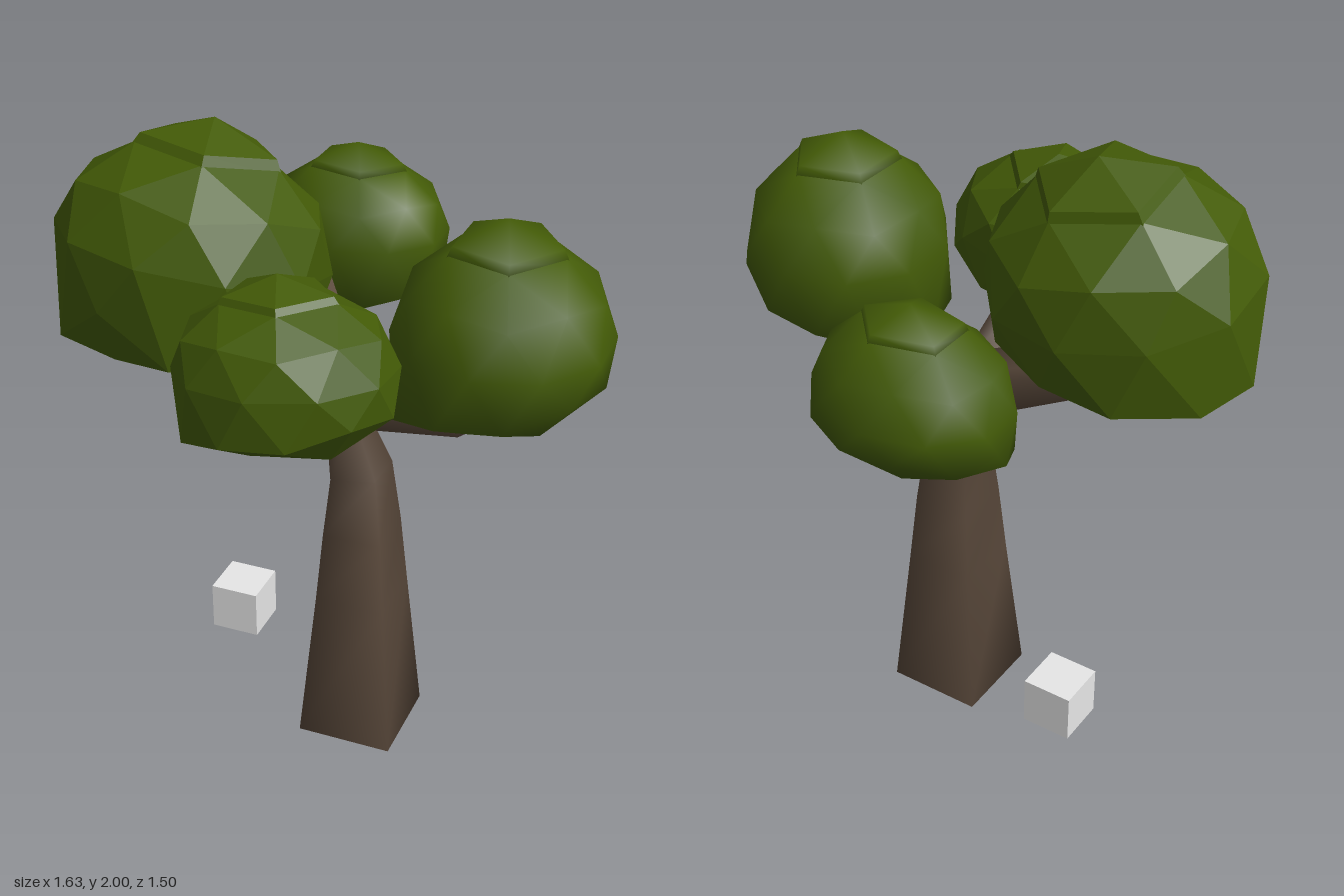
import * as THREE from 'three';
import { mergeVertices } from 'three/addons/utils/BufferGeometryUtils.js';

const bark = new THREE.MeshStandardMaterial({ name: 'bark brown', color: 0x5b4a3c });
const leaf = new THREE.MeshStandardMaterial({ name: 'leaf green', color: 0x435b07 });
const stone = new THREE.MeshStandardMaterial({ name: 'light grey', color: 0xe7e7e7 });

// Square tube through [x, y, z, half width] points, with soft normals
function limb(points, ref) {
  const centres = points.map(p => new THREE.Vector3(p[0], p[1], p[2]));
  const pos = [], index = [];
  const last = points.length - 1;
  centres.forEach((c, i) => {
    const t = centres[Math.min(i + 1, last)].clone().sub(centres[Math.max(i - 1, 0)]).normalize();
    const u = ref.clone().cross(t).normalize();
    const v = t.clone().cross(u);
    const h = points[i][3];
    for (const [a, b] of [[1, 1], [-1, 1], [-1, -1], [1, -1]]) {
      const p = c.clone().addScaledVector(u, a * h).addScaledVector(v, b * h);
      pos.push(p.x, p.y, p.z);
    }
  });
  for (let i = 0; i < last; i++) {
    for (let k = 0; k < 4; k++) {
      const a = i * 4 + k, b = i * 4 + (k + 1) % 4;
      index.push(a, b, b + 4, a, b + 4, a + 4);
    }
  }
  const e = last * 4;
  index.push(0, 2, 1, 0, 3, 2, e, e + 1, e + 2, e, e + 2, e + 3);
  const g = new THREE.BufferGeometry();
  g.setAttribute('position', new THREE.Float32BufferAttribute(pos, 3));
  g.setIndex(index);
  g.computeVertexNormals();
  return g;
}

// Weld a geometry, then shade it either faceted or smooth
function weld(g) {
  g.deleteAttribute('normal');
  g.deleteAttribute('uv');
  return mergeVertices(g, 1e-3);
}
function shade(g, flat) {
  const out = flat ? g.toNonIndexed() : g;
  out.computeVertexNormals();
  return out;
}

// Leaf clump: low-poly ball with a hollow underside, a slanted rim and a five-sided cap
function clump({ name, centre, radii, low, skirt, slant, flat, tilt }) {
  const group = new THREE.Group();
  group.name = name;
  const lean = new THREE.Euler(tilt[0], 0, tilt[1]);
  const ball = weld(new THREE.IcosahedronGeometry(1, 1));
  ball.rotateZ(-Math.atan(2 / (1 + Math.sqrt(5))));
  const p = ball.attributes.position;
  const v = new THREE.Vector3();
  for (let i = 0; i < p.count; i++) {
    v.fromBufferAttribute(p, i);
    if (v.y > 0.3) v.y *= 0.87;
    v.applyEuler(lean);
    if (v.y < -0.3) {
      const r = Math.hypot(v.x, v.z);
      const sag = v.x * slant[0] + v.z * slant[1];
      v.y = r < 0.65 ? low + Math.max(0, 0.45 - r) * 1.5 : Math.max(low - 0.03, v.y - skirt - sag);
      const grow = Math.min(1.12 + Math.max(0, sag) * 0.3, 1 / Math.max(r, 0.01));
      v.x *= grow;
      v.z *= grow;
    }
    p.setXYZ(i, v.x, v.y, v.z);
  }
  const profile = [[0.42, 0.62], [0.56, 0.69], [0.5, 0.81], [0, 1]].map(q => new THREE.Vector2(...q));
  const cap = weld(new THREE.LatheGeometry(profile, 5, Math.PI / 10));
  cap.applyMatrix4(new THREE.Matrix4().makeRotationFromEuler(lean));
  for (const [part, geo] of [['leafBall', ball], ['leafCap', cap]]) {
    geo.scale(...radii);
    const mesh = new THREE.Mesh(shade(geo, flat), leaf);
    mesh.name = part;
    group.add(mesh);
  }
  group.position.set(...centre);
  return group;
}

export function createModel() {
  const tree = new THREE.Group();
  tree.name = 'tree';
  const add = (name, geo, mat) => {
    const mesh = new THREE.Mesh(geo, mat);
    mesh.name = name;
    tree.add(mesh);
    return mesh;
  };

  // Tapering square trunk, bending at the fork
  add('trunk', limb([
    [0.075, 0, 0.025, 0.153], [0.075, 0.5, 0.022, 0.111], [0.074, 0.73, 0.021, 0.093],
    [0.07, 0.93, 0.02, 0.073], [0.012, 1.12, 0.01, 0.045], [0, 1.2, 0, 0.045],
  ], new THREE.Vector3(0, 0, 1)), bark);

  // Four branches from the fork
  const up = new THREE.Vector3(0, 1, 0);
  const branches = {
    rightBranch: [[0, 1.18, 0, 0.075], [-0.47, 1.36, 0.1, 0.052], [-0.6, 1.46, 0.12, 0.03]],
    leftBranch: [[0, 1.165, 0, 0.072], [0.38, 1.18, 0.03, 0.04], [0.58, 1.32, 0.06, 0.03]],
    frontBranch: [[0, 1.16, 0, 0.055], [0.01, 1.35, 0.32, 0.045], [0.02, 1.46, 0.48, 0.025]],
    backBranch: [[0.01, 1.16, 0, 0.06], [-0.2, 1.38, -0.26, 0.05], [-0.26, 1.5, -0.45, 0.03]],
  };
  for (const [name, pts] of Object.entries(branches)) add(name, limb(pts, up), bark);

  // Leaf clumps
  tree.add(
    clump({
      name: 'rightClump', centre: [-0.415, 1.63, 0.12], radii: [0.415, 0.38, 0.365], low: -0.65,
      skirt: 0.15, slant: [-0.15, 0.08], flat: true, tilt: [-0.2, -0.12],
    }),
    clump({
      name: 'leftClump', centre: [0.505, 1.5, 0.07], radii: [0.315, 0.34, 0.315], low: -0.7,
      skirt: 0, slant: [-0.23, 0], flat: false, tilt: [0, 0],
    }),
    clump({
      name: 'frontClump', centre: [0.025, 1.5, 0.475], radii: [0.315, 0.255, 0.275], low: -0.72,
      skirt: 0.08, slant: [-0.2, 0], flat: true, tilt: [-0.1, 0.1],
    }),
    clump({
      name: 'backClump', centre: [-0.155, 1.49, -0.52], radii: [0.295, 0.27, 0.235], low: -0.66,
      skirt: 0, slant: [0, 0.22], flat: false, tilt: [0, 0],
    }),
  );

  // Small loose block beside the trunk
  add('block', new THREE.BoxGeometry(0.16, 0.16, 0.16), stone).position.set(-0.41, 0.23, -0.13);
  return tree;
}
